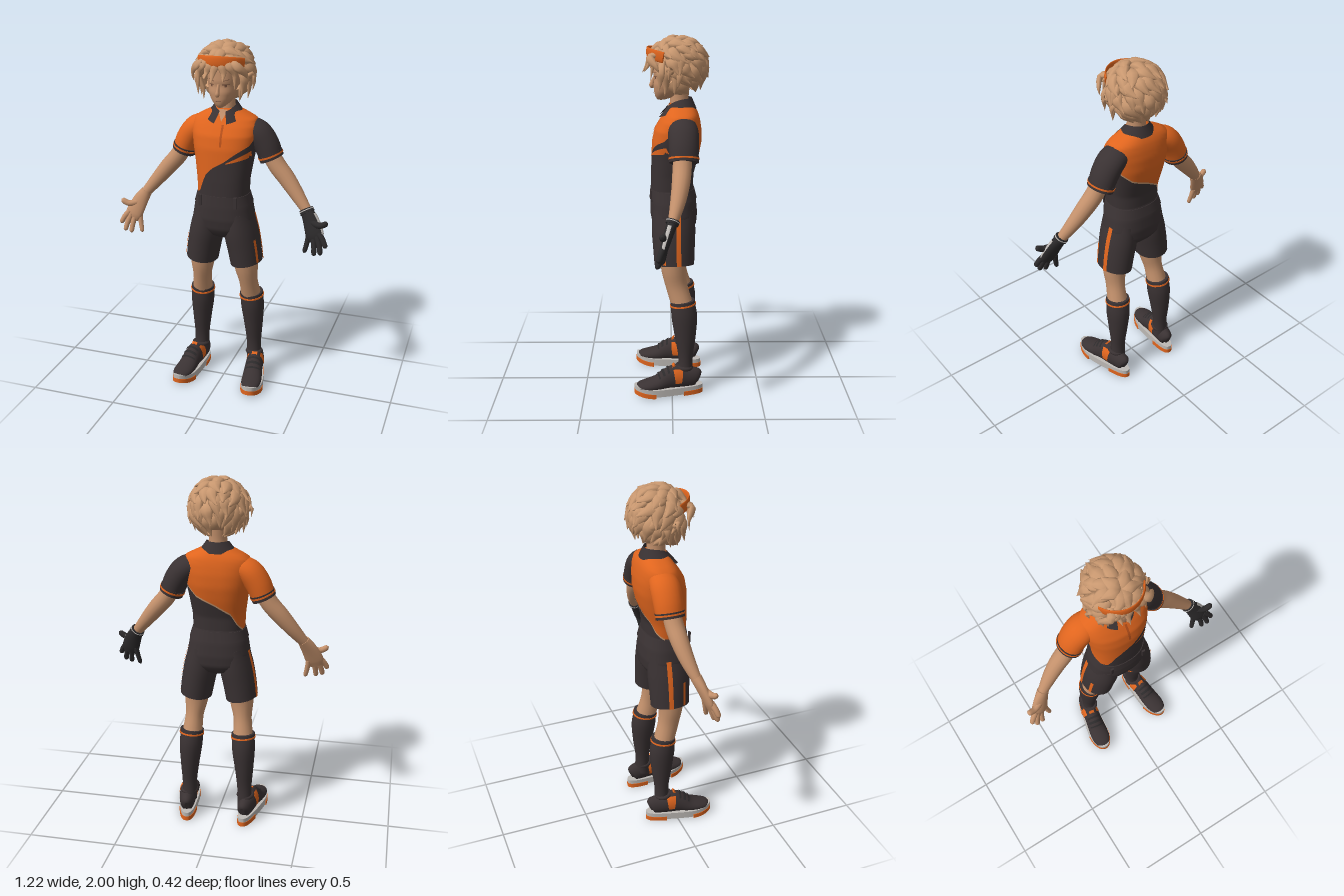
import * as THREE from 'three';

const V = (x, y, z) => new THREE.Vector3(x, y, z);
const { lerp, clamp, smoothstep } = THREE.MathUtils;
const mat = (name, color, extra = {}) => Object.assign(new THREE.MeshStandardMaterial({ color, ...extra }), { name });

// Grid surface from fn(u, v); u may wrap round, with capped ends
function surface(fn, nu, nv, closed = true) {
  const pos = [], idx = [], cols = closed ? nu : nu + 1, rows = [];
  for (let j = 0; j <= nv; j++) {
    rows.push([]);
    for (let i = 0; i < cols; i++) { const p = fn(i / nu, j / nv); rows[j].push(p); pos.push(p.x, p.y, p.z); }
  }
  for (let j = 0; j < nv; j++) for (let i = 0; i < nu; i++) {
    const a = j * cols + i, b = j * cols + (i + 1) % cols;
    idx.push(a, b, a + cols, b, b + cols, a + cols);
  }
  if (closed) for (const j of [0, nv]) {
    const c = V(0, 0, 0), base = pos.length / 3;
    rows[j].forEach(p => { c.addScaledVector(p, 1 / cols); pos.push(p.x, p.y, p.z); });
    pos.push(c.x, c.y, c.z);
    for (let i = 0; i < cols; i++) {
      const a = base + i, b = base + (i + 1) % cols;
      idx.push(base + cols, j ? a : b, j ? b : a);
    }
  }
  const g = new THREE.BufferGeometry();
  g.setAttribute('position', new THREE.Float32BufferAttribute(pos, 3));
  g.setIndex(idx);
  g.computeVertexNormals();
  return g;
}

// Round limb through points [x, y, z, radius, depth]; options pick a part of it
function limb(pts, { ref = V(0, 0, 1), a0 = 0, a1 = Math.PI * 2, t0 = 0, t1 = 1, grow = 0, nu = 16, nv = 0 } = {}) {
  const path = new THREE.CatmullRomCurve3(pts.map(p => V(p[0], p[1], p[2])));
  const size = new THREE.CatmullRomCurve3(pts.map((p, i) => V(p[3], p[4] ?? p[3], i)));
  return surface((u, v) => {
    const t = lerp(t0, t1, v), a = lerp(a0, a1, u), T = path.getTangent(t), s = size.getPoint(t);
    const side = T.clone().cross(ref).normalize(), other = T.clone().cross(side);
    return path.getPoint(t).addScaledVector(side, Math.cos(a) * (s.x + grow)).addScaledVector(other, Math.sin(a) * (s.y + grow));
  }, nu, nv || (pts.length - 1) * 4, a1 - a0 > 6.28);
}

// Straight-line lookup in rows [key, ...values] with keys in falling order
function lookup(table, key) {
  let i = 0;
  while (i < table.length - 2 && key < table[i + 1][0]) i++;
  const p = table[i], q = table[i + 1], f = clamp((key - p[0]) / (q[0] - p[0]), 0, 1);
  return p.slice(1).map((c, j) => lerp(c, q[j + 1], f));
}

// Body form from horizontal sections [y, half width, front z, back z], listed from the top down
function sections(table, n = 2.4) {
  const sp = c => Math.sign(c) * Math.abs(c) ** (2 / n);
  const solid = (top, bottom, { nv = 24, a0 = 0, a1 = Math.PI * 2, grow = 0 } = {}) => surface((u, v) => {
    const a = lerp(a0, a1, u), c = sp(Math.cos(a)), s = sp(Math.sin(a));
    const y = lerp(top(c * 0.165, s), bottom(c * 0.165, s), v), [w, f, b] = lookup(table, y);
    return V((w + grow) * c, y, (f + b) / 2 + ((f - b) / 2 + grow) * s);
  }, 48, nv, a1 - a0 > 6.28);
  const decal = (x0, x1, top, bottom) => surface((u, v) => {
    const x = lerp(x1, x0, u), y = lerp(top(x), bottom(x), v), [w, f, b] = lookup(table, y);
    return V(x, y, (f + b) / 2 + (f - b) / 2 * Math.max(0, 1 - Math.abs(x / w) ** n) ** (1 / n) + 0.004);
  }, 8, 8, false);
  return { solid, decal };
}

export function createModel() {
  const root = new THREE.Group();
  const skin = mat('skin', 0xc4916c), hairMat = mat('hair', 0xc8976f), orange = mat('orange', 0xe0651e);
  const dark = mat('dark cloth', 0x3a3233, { side: THREE.DoubleSide }), glove = mat('glove black', 0x2c2a2b);
  const pale = mat('pale rubber', 0xbdb9b5), line = mat('face line', 0x7a5440), seam = mat('seam orange', 0xb8501a);
  const add = (name, geo, m, parent = root) => {
    const mesh = new THREE.Mesh(geo, m);
    mesh.name = name;
    parent.add(mesh);
  };
  const k = y => () => y;

  // Shirt, divided by a rising diagonal that sits lower on the back
  const torso = sections([[1.64, .055, .01, -.10], [1.615, .11, .022, -.125], [1.585, .17, .04, -.142], [1.55, .185, .065, -.152],
    [1.5, .184, .095, -.16], [1.43, .174, .11, -.16], [1.35, .16, .113, -.145], [1.25, .146, .116, -.118], [1.155, .142, .116, -.117]]);
  const frontLine = [[.17, 1.52], [.15, 1.455], [.08, 1.405], [.04, 1.37], [-.03, 1.33], [-.08, 1.285], [-.125, 1.19], [-.17, 1.16]];
  const backLine = [[.17, 1.47], [.14, 1.42], [.1, 1.375], [0, 1.33], [-.09, 1.275], [-.13, 1.21], [-.17, 1.16]];
  const split = (x, s) => lerp(lookup(backLine, x)[0], lookup(frontLine, x)[0], smoothstep(s, -.5, .3));
  add('shirtUpper', torso.solid(k(1.64), split), orange);
  add('shirtLower', torso.solid(split, k(1.155)), dark);
  add('backPiping', torso.solid((x, s) => split(x, s) + .005, (x, s) => split(x, s) - .005, { nv: 1, a0: Math.PI * 1.1, a1: Math.PI * 1.9, grow: .002 }), hairMat);
  add('shirtSlash', torso.decal(.045, .165, x => 1.363 + (x - .045) * .5, x => 1.358 + (x - .045) * .25), orange);
  add('placket', torso.decal(.008, .02, k(1.56), k(1.45)), seam);
  add('openNeck', torso.decal(-.024, .024, k(1.635), x => 1.575 + Math.abs(x) * 2), skin);
  // Folded collar with two points at the front
  add('collar', surface((u, v) => {
    const f = lerp(-2.86, 2.86, u), front = ((1 - Math.cos(f)) / 2) ** 3;
    const r = lerp(.06, .1, v), d = lerp(.066, lerp(.09, .118, front), v);
    return V(r * Math.sin(f) * (1 + front * v * .25), lerp(1.668 - .045 * front, 1.61 - .045 * front, v), -.042 - d * Math.cos(f));
  }, 48, 4, false), dark);

  // Belt and shorts
  const hips = sections([[1.18, .141, .114, -.117], [1.1, .163, .12, -.133], [1.03, .175, .121, -.14], [.97, .17, .11, -.135], [.93, .12, .085, -.11], [.905, .05, .04, -.06]]);
  add('shortsHips', hips.solid(k(1.18), k(.905)), dark);
  add('belt', sections([[1.17, .147, .12, -.122], [1.115, .163, .125, -.136]]).solid(k(1.17), k(1.115), { nv: 4 }), dark);
  for (const x of [-.1, .1]) add('beltLoop', new THREE.BoxGeometry(.018, .062, .01).translate(x, 1.142, .114), dark);

  // Head
  const head = sections([[1.96, .04, .0, -.08], [1.92, .078, .07, -.13], [1.86, .09, .096, -.15], [1.8, .087, .099, -.14], [1.775, .085, .094, -.13],
    [1.74, .079, .1, -.105], [1.7, .06, .097, -.06], [1.672, .036, .09, -.01], [1.657, .014, .078, .04]], 2.2);
  add('head', head.solid(k(1.96), k(1.657), { nv: 30 }), skin);
  add('neck', limb([[0, 1.75, -.045, .052], [0, 1.66, -.04, .05], [0, 1.56, -.045, .06]]), skin);
  add('nose', limb([[0, 1.785, .09, .006, .008], [0, 1.75, .105, .009, .012], [0, 1.732, .11, .012, .013], [0, 1.722, .098, .004, .004]]), skin);
  add('mouth', head.decal(-.015, .015, k(1.697), k(1.694)), line);
  for (const s of [-1, 1]) {
    const lo = Math.min(s * .022, s * .056), hi = Math.max(s * .022, s * .056);
    add('eyelash', head.decal(lo, hi, k(1.787), k(1.783)), line);
    add('iris', head.decal(s * .039 - .005, s * .039 + .005, k(1.783), k(1.772)), line);
    add('eyebrow', head.decal(lo, hi, x => 1.799 + Math.abs(x) * .25, x => 1.796 + Math.abs(x) * .25), line);
    add('ear', new THREE.SphereGeometry(1, 12, 8).scale(.014, .032, .022).translate(s * .09, 1.765, -.03), skin);
  }

  // Hair: cap, rows of pointed locks swept back from a forward crown, and a fringe
  const hair = new THREE.Group();
  hair.name = 'hair';
  root.add(hair);
  let seed = 11;
  const rnd = () => (seed = seed * 16807 % 2147483647) / 2147483647;
  const centre = V(0, 1.84, -.03), xAxis = V(1, 0, 0);
  add('hairCap', new THREE.SphereGeometry(1, 32, 18, 0, Math.PI * 2, 0, 1.8).rotateX(-.6).scale(.128, .127, .138).translate(0, 1.84, -.03), hairMat, hair);
  const onSkull = (phi, th, s) => {
    const p = V(Math.sin(th) * Math.sin(phi), Math.cos(th), Math.sin(th) * Math.cos(phi)).applyAxisAngle(xAxis, .5);
    p.multiply(V(.132, .13, .138)).multiplyScalar(s).add(centre);
    p.y = Math.min(p.y, 1.998);
    return p;
  };
  const lock = (ps, w) => add('hairLock', limb(ps.map((p, i) => [p.x, p.y, p.z, w * [.7, 1, .62, .03][i], w * [.4, .6, .42, .03][i]]),
    { ref: ps[1].clone().sub(centre).normalize(), nu: 8, nv: 8 }), hairMat, hair);
  for (const [th, count] of [[.3, 6], [.65, 9], [1.0, 13], [1.35, 15], [1.7, 15], [2.05, 14], [2.4, 10]]) for (let i = 0; i < count; i++) {
    const phi = (i + rnd() * .7) / count * Math.PI * 2, bend = (rnd() - .5) * .7, out = 1.2 + rnd() * .14, reach = .36 + rnd() * .2;
    const tip = onSkull(phi + bend, th + reach, out), mid = onSkull(phi, th, 1);
    if ((tip.z > .03 && tip.y < 1.86) || (tip.y < 1.77 && tip.z > -.05) || (mid.z > .04 && mid.y < 1.88)) continue;
    lock([onSkull(phi, Math.max(.02, th - .4), .93), onSkull(phi, th - .05, 1.07), onSkull(phi + bend * .4, th + reach * .5, 1.13), tip], .034 + rnd() * .006);
  }
  for (const [x, tx, ty, tz] of [[-.08, -.15, 1.81, .08], [-.06, -.11, 1.77, .1], [-.03, -.06, 1.82, .15], [.0, -.02, 1.8, .16],
    [.02, .04, 1.81, .15], [.05, .095, 1.77, .115], [.08, .15, 1.82, .07]]) {
    lock([V(x, 1.91, .075), V(lerp(x, tx, .35), 1.892, .118), V(lerp(x, tx, .9), 1.85, .138 - Math.abs(tx) * .35), V(tx, ty, tz)], .026);
  }
  for (const s of [-1, 1]) for (const [x, y, z] of [[.1, 1.69, .02], [.12, 1.72, .05], [.13, 1.7, -.03], [.165, 1.78, .0], [.15, 1.74, -.05]])
    lock([V(s * .1, 1.87, z), V(s * .13, 1.82, z + .01), V(s * (x + .005), y + .055, z + .012), V(s * x, y, z + .02)], .027);
  // Headband round the brow
  const band = [];
  for (let i = 0; i <= 8; i++) {
    const a = (i / 8 - .5) * 2.2;
    band.push([.14 * Math.sin(a), 1.878 + .034 * Math.cos(a), -.025 + .157 * Math.cos(a), .006, .029]);
  }
  add('headband', limb(band, { ref: V(0, 1, 0) }), orange);

  for (const s of [1, -1]) {
    const L = rows => rows.map(([x, ...r]) => [s * x, ...r]);
    const side = s > 0 ? 'left' : 'right', isLeft = s > 0;
    // Sleeve with striped cuff
    const sleeve = L([[.07, 1.54, -.055, .05, .06], [.165, 1.512, -.058, .068, .08], [.218, 1.45, -.06, .07, .08], [.256, 1.365, -.06, .064, .075]]);
    add(side + 'Sleeve', limb(sleeve, { nu: 24, nv: 18 }), isLeft ? dark : orange);
    add(side + 'CuffBand', limb(sleeve, { t0: .88, t1: 1, grow: .003, nu: 24 }), dark);
    add(side + 'CuffStripe', limb(sleeve, { t0: .91, t1: .945, grow: .005, nu: 24 }), orange);
    // Arm and hand
    add(side + 'Arm', limb(L([[.23, 1.43, -.055, .048], [.285, 1.335, -.05, .049, .05], [.345, 1.265, -.042, .047, .047],
      [.41, 1.185, -.025, .039, .039], [.47, 1.11, -.002, .029, .027], [.485, 1.09, .005, .028, .024]])), skin);
    const hm = isLeft ? glove : skin, hand = new THREE.Group();
    hand.name = side + 'Hand';
    root.add(hand);
    const palm = L([[.468, 1.115, -.003, .033, .03], [.5, 1.06, .018, .044, .026], [.53, .99, .042, .05, .022], [.542, .955, .05, .036, .014]]);
    add('palm', limb(palm), hm, hand);
    for (const [a, b, c, r] of [
      [[.505, 1.055, .025], [.558, 1.046, .048], [.603, 1.068, .055], .0175],
      [[.555, 1.0, .046], [.582, .968, .062], [.602, .93, .075], .0155],
      [[.545, .985, .048], [.564, .935, .066], [.574, .888, .082], .0155],
      [[.525, .975, .045], [.534, .926, .062], [.538, .878, .078], .015],
      [[.498, .985, .035], [.489, .93, .045], [.478, .88, .055], .0135]])
      add('finger', limb(L([[...a, r * 1.15], [...b, r], [...c.map((v, i) => lerp(b[i], v, .8)), r * .85], [...c, .002]]), { nu: 10 }), hm, hand);
    if (isLeft) {
      add('gloveCuff', limb(palm, { t0: 0, t1: .12, grow: .005 }), glove, hand);
      add('gloveTrim', limb(palm, { t0: .03, t1: .055, grow: .007 }), pale, hand);
      add('glovePatch', limb(palm, { a0: 3.0, a1: 3.7, t0: .2, t1: .75, grow: .003 }), pale, hand);
    }
    // Shorts leg with side stripes
    const leg = L([[.085, 1.06, -.008, .08, .115], [.099, .95, -.008, .095, .12], [.118, .85, -.01, .094, .115], [.132, .76, -.012, .09, .11]]);
    const at = (c, w) => isLeft ? { a0: Math.PI - c - w, a1: Math.PI - c + w } : { a0: c - w, a1: c + w };
    add(side + 'ShortsLeg', limb(leg, { nu: 28 }), dark);
    add(side + 'SideStripe', limb(leg, { ...at(.22, .11), t0: .06, grow: .004, nu: 4 }), orange);
    add(side + 'ShortStripe', limb(leg, { ...at(-.5, .08), t0: .5, t1: .97, grow: .004, nu: 4 }), orange);
    // Leg and sock
    add(side + 'Leg', limb(L([[.125, .82, -.005, .073, .08], [.132, .72, -.01, .066, .068], [.14, .63, -.026, .052, .06], [.148, .53, -.055, .058, .06]])), skin);
    const sock = L([[.149, .55, -.058, .063, .064], [.154, .46, -.068, .066, .072], [.16, .33, -.074, .053, .058], [.163, .21, -.076, .042, .041], [.165, .1, -.075, .043, .045]]);
    add(side + 'Sock', limb(sock, { nu: 20 }), dark);
    add(side + 'SockCuff', limb(sock, { t0: 0, t1: .09, grow: .004, nu: 20 }), dark);
    add(side + 'SockStripe', limb(sock, { t0: .045, t1: .07, grow: .007, nu: 20 }), orange);

    // Shoe, turned slightly outwards
    const shoe = new THREE.Group();
    shoe.name = side + 'Shoe';
    shoe.position.set(s * .192, 0, .02);
    shoe.rotation.y = s * .15;
    root.add(shoe);
    const sole = (z0, z1, y0, y1, grow) => surface((u, v) => {
      const a = u * Math.PI * 2, z = lerp(z0, z1, (1 - Math.cos(a)) / 2);
      const half = (.056 + .009 * Math.sin((z + .02) * 12)) * Math.max(0, 1 - Math.abs(z / .197) ** 3.2) ** .5 + grow;
      return V(half * clamp(Math.sin(a) * 1e4, -1, 1), lerp(y1, y0, v) + Math.max(0, z - .08) ** 2 * 1.5, z);
    }, 64, 2);
    add('midsole', sole(-.195, .195, .008, .05, 0), pale, shoe);
    add('toeTread', sole(.08, .197, 0, .026, .003), orange, shoe);
    add('heelTread', sole(-.197, -.08, 0, .026, .003), orange, shoe);
    const upper = [[-.176, .085, .014, .03], [-.16, .092, .036, .052], [-.1, .095, .047, .062], [-.04, .1, .05, .073], [.01, .09, .052, .06],
      [.06, .07, .056, .044], [.12, .06, .056, .032], [.165, .057, .042, .022], [.19, .055, .012, .008]].map(([z, y, r, d]) => [0, y, z, r, d]);
    const up = { ref: V(0, 1, 0) };
    add('shoeUpper', limb(upper, { ...up, nu: 24 }), dark, shoe);
    for (const a of [-.9, Math.PI - .3]) add('shoeFlash', limb(upper, { ...up, a0: a, a1: a + 1.2, t0: .31, t1: .4, grow: .003, nu: 8 }), orange, shoe);
    for (const t of [.44, .5, .56]) add('lace', limb(upper, { ...up, a0: -2.4, a1: -.74, t0: t, t1: t + .025, grow: .004, nu: 10 }), glove, shoe);
    add('tongueTag', new THREE.BoxGeometry(.032, .022, .008).rotateX(-.7).translate(0, .17, -.026), orange, shoe);
    add('shoeCollar', new THREE.TorusGeometry(.04, .012, 8, 24).rotateX(Math.PI / 2 - .12).translate(-s * .01, .155, -.09), dark, shoe);
  }
  return root;
}
